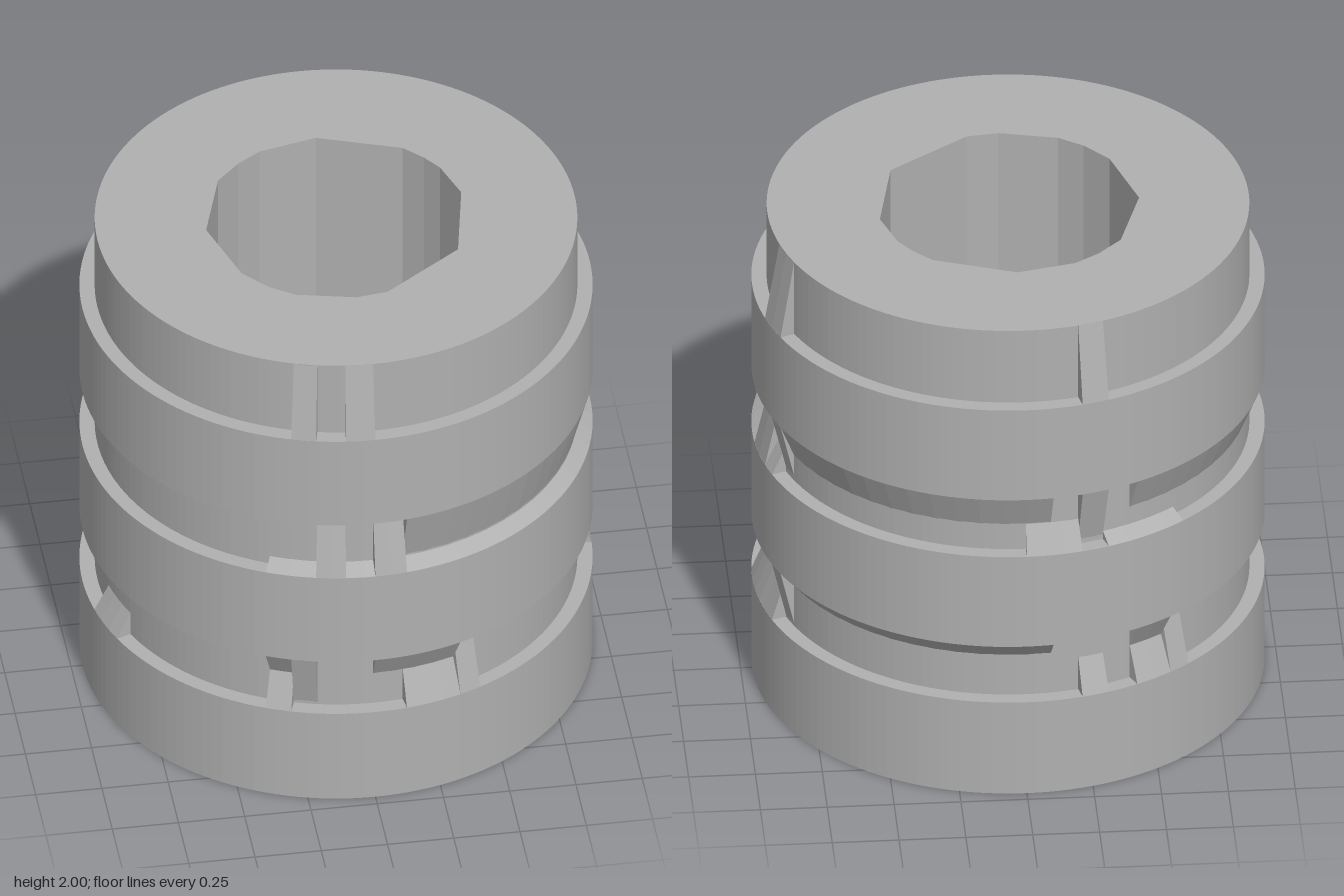
import * as THREE from 'three';

const R = 0.957, CORE = 0.9, INNER = 0.87;

// Angles are measured from the front (+z) towards +x
const F = x => Math.asin(x / R);            // front, by x
const S = z => Math.acos(z / R);            // +x side, by z
const B = x => Math.PI - Math.asin(x / R);  // back, by x
const L = z => 2 * Math.PI - Math.acos(z / R); // -x side, by z

// Curved block: a four-cornered section swept from angle a to angle b
function sector(a, b, y0, y1, rBottom, rTop) {
  const n = Math.max(1, Math.ceil(Math.abs(b - a) / 0.1));
  const section = [[INNER, y0], [rBottom, y0], [rTop, y1], [INNER, y1]];
  const pos = [], idx = [];
  for (let i = 0; i <= n; i++) {
    const t = a + (b - a) * i / n;
    for (const [r, y] of section) pos.push(r * Math.sin(t), y, r * Math.cos(t));
  }
  for (let i = 0; i < n; i++) {
    for (let j = 0; j < 4; j++) {
      const p = i * 4 + j, q = i * 4 + (j + 1) % 4;
      idx.push(p, p + 4, q, q, p + 4, q + 4);
    }
  }
  const e = n * 4;
  idx.push(0, 1, 2, 0, 2, 3, e, e + 2, e + 1, e, e + 3, e + 2);
  const g = new THREE.BufferGeometry();
  g.setAttribute('position', new THREE.Float32BufferAttribute(pos, 3));
  g.setIndex(idx);
  const flat = g.toNonIndexed();
  flat.computeVertexNormals();
  return flat;
}

// Upright extrusion of a disc with a hole
function disc(radius, hole, y0, y1) {
  const shape = new THREE.Shape().absarc(0, 0, radius, 0, Math.PI * 2, false);
  shape.holes.push(hole);
  const g = new THREE.ExtrudeGeometry(shape, { depth: y1 - y0, bevelEnabled: false, curveSegments: 72 });
  return g.rotateX(-Math.PI / 2).translate(0, y0, 0);
}

export function createModel() {
  const group = new THREE.Group();
  const grey = new THREE.MeshStandardMaterial({ color: 0xb0b0b0 });
  grey.name = 'plain grey';
  const add = (name, geometry) => {
    const m = new THREE.Mesh(geometry, grey);
    m.name = name;
    group.add(m);
  };

  // Core with an irregular faceted bore, given as x, z
  const bore = [[0, -.49], [.31, -.38], [.38, -.31], [.43, -.24], [.485, -.08], [.42, .26],
    [.12, .475], [0, .49], [-.22, .44], [-.31, .38], [-.4, .28], [-.49, 0], [-.4, -.29],
    [-.31, -.38], [-.22, -.44]];
  add('core', disc(CORE, new THREE.Path(bore.map(([x, z]) => new THREE.Vector2(x, -z))), 0, 2));

  // Three wide collars
  for (const [name, y0, y1] of [['baseCollar', 0, .4], ['middleCollar', .645, 1.04], ['upperCollar', 1.29, 1.685]]) {
    add(name, disc(R, new THREE.Path().absarc(0, 0, INNER, 0, Math.PI * 2, true), y0, y1));
  }

  // Wedges that rise from a collar and taper into the core: angles, bottom, top
  const rising = [
    // neck
    [F(-.31), F(-.22), 1.685, 2], [F(-.11), F(0), 1.685, 2],
    [S(-.24), S(-.38), 1.685, 2], [B(-.21), B(-.31), 1.685, 2],
    // upper groove
    [F(-.22), F(-.11), 1.04, 1.29], [F(0), F(.12), 1.04, 1.29],
    [S(-.08), S(-.24), 1.04, 1.29], [S(-.24), S(-.31), 1.04, 1.15],
    [B(0), B(-.21), 1.04, 1.15], [B(-.31), B(-.6), 1.04, 1.075],
    [F(-.4), S(-.08), 1.04, 1.075],
    // lower groove
    [F(-.4), F(-.31), .4, .54], [F(.12), F(.33), .4, .54], [F(.33), F(.41), .4, .645],
    [S(.06), S(-.24), .4, .54], [S(-.24), S(-.31), .4, .575],
    [B(-.21), B(-.31), .4, .54], [B(-.42), B(-.55), .4, .54], [B(-.55), B(-.62), .4, .645],
    [L(.18), L(.37), .4, .5],
  ];
  for (const [a, b, y0, y1] of rising) add('risingWedge', sector(a, b, y0, y1, R, CORE));

  // Wedges that hang below a collar and taper into the core
  const hanging = [
    // upper groove
    [F(.12), S(-.08), 1.08, 1.29], [S(-.31), S(-.38), 1.06, 1.29],
    [S(-.38), B(-.1), 1.15, 1.29], [B(-.21), B(-.31), 1.06, 1.29],
    [B(-.42), L(0), 1.15, 1.29],
    // lower groove
    [F(-.4), F(-.31), .54, .645], [F(-.31), F(-.22), .41, .645], [F(0), F(.33), .54, .645],
    [S(-.08), S(-.24), .54, .645], [S(-.31), S(-.38), .41, .645],
    [S(-.38), B(-.1), .575, .645], [B(-.42), B(-.55), .54, .645],
  ];
  for (const [a, b, y0, y1] of hanging) add('hangingWedge', sector(a, b, y0, y1, CORE, R));

  return group;
}
